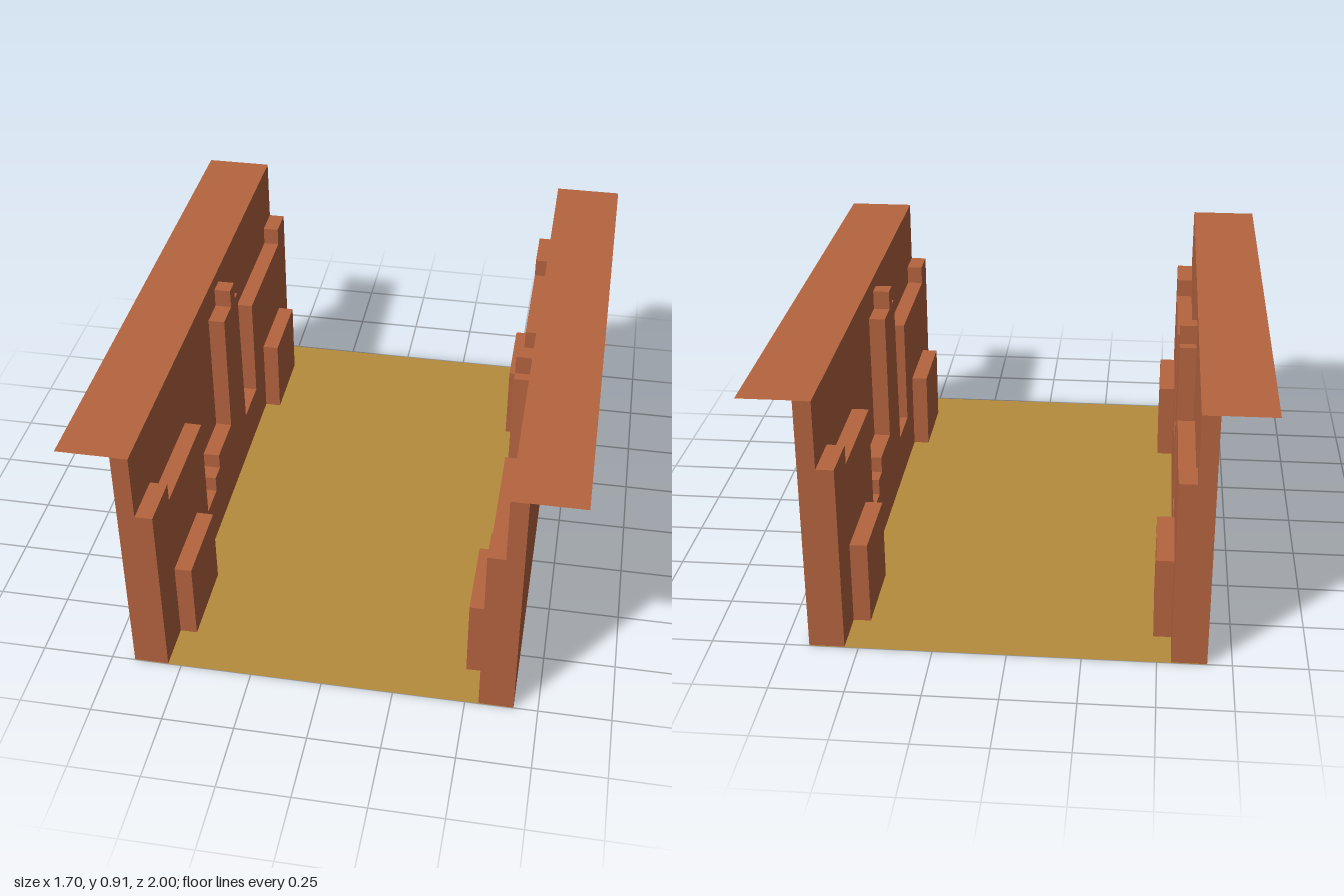
import * as THREE from 'three';

const LIFT = 0.002; // walls rest just above the floor sheet

export function createModel() {
  const model = new THREE.Group();
  const brick = new THREE.MeshStandardMaterial({ color: 0xb5643f, flatShading: true });
  const sheetBrick = new THREE.MeshStandardMaterial({ color: 0xb5643f, side: THREE.DoubleSide });
  const sand = new THREE.MeshStandardMaterial({ color: 0xb48c3c, side: THREE.DoubleSide });

  const add = (parent, name, geometry, material) => {
    const mesh = new THREE.Mesh(geometry, material);
    mesh.name = name;
    parent.add(mesh);
    return mesh;
  };

  // Box given by its extents
  const box = (x0, x1, y0, y1, z0, z1) =>
    new THREE.BoxGeometry(x1 - x0, y1 - y0, z1 - z0)
      .translate((x0 + x1) / 2, (y0 + y1) / 2, (z0 + z1) / 2);

  // Horizontal sheet without thickness
  const sheet = (x0, x1, y) =>
    new THREE.PlaneGeometry(x1 - x0, 2).rotateX(-Math.PI / 2).translate((x0 + x1) / 2, y, 0);

  add(model, 'floor', sheet(-0.667, 0.667, 0), sand);

  // Stepped skyline of the inner layer as [z, y], from front to back
  const skyline = [
    [1, 0.67], [0.82, 0.67], [0.82, 0.6], [0.395, 0.6], [0.395, 0.19],
    [0.27, 0.19], [0.27, 0.25], [0.205, 0.25], [0.205, 0.31], [0.012, 0.31],
    [0.012, 0.79], [-0.093, 0.79], [-0.093, 0.86], [-0.153, 0.86], [-0.153, 0.79],
    [-0.19, 0.79], [-0.21, 0.19], [-0.395, 0.19], [-0.395, 0.6],
    [-0.883, 0.6], [-0.883, 0.67], [-1, 0.67],
  ];

  // The second side is the first turned half way round
  ['rightSide', 'leftSide'].forEach((name, i) => {
    const side = new THREE.Group();
    side.name = name;
    side.rotation.y = i * Math.PI;
    model.add(side);

    add(side, 'outerWall', box(-0.667, -0.607, LIFT, 0.91, -1, 1), brick);
    add(side, 'roofStrip', sheet(-0.85, -0.607, 0.911), sheetBrick);

    const outline = [[1, LIFT], ...skyline, [-1, LIFT]].map(([z, y]) => new THREE.Vector2(-z, y));
    const layer = new THREE.ExtrudeGeometry(new THREE.Shape(outline), { depth: 0.06, bevelEnabled: false });
    layer.rotateY(Math.PI / 2).translate(-0.607, 0, 0);
    add(side, 'steppedLayer', layer, brick);

    add(side, 'frontBlock', box(-0.547, -0.487, LIFT, 0.3, 0.53, 0.835), brick);
    add(side, 'backBlock', box(-0.547, -0.487, LIFT, 0.3, -0.85, -0.548), brick);
  });

  return model;
}
